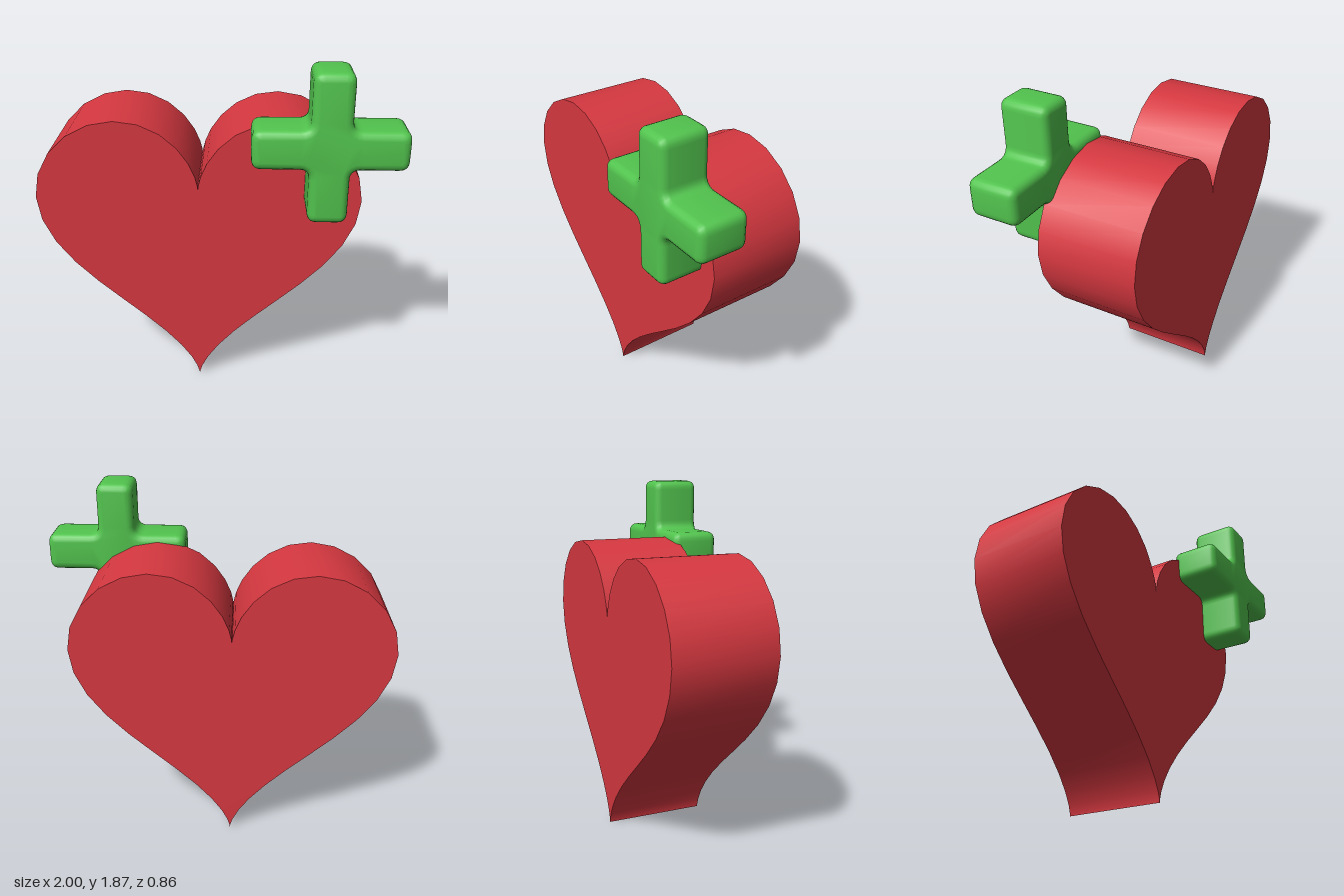
import * as THREE from 'three';
import { toCreasedNormals } from 'three/addons/utils/BufferGeometryUtils.js';

const TURN = THREE.MathUtils.degToRad(10);

// Classic parametric heart curve, tip at y = 0
function heartShape(scale, steps) {
  const points = [];
  for (let i = 0; i < steps; i++) {
    const t = (i / steps) * Math.PI * 2;
    const x = 16 * Math.sin(t) ** 3;
    const y = 13 * Math.cos(t) - 5 * Math.cos(2 * t) - 2 * Math.cos(3 * t) - Math.cos(4 * t);
    points.push(new THREE.Vector2(x * scale, (y + 17) * scale));
  }
  return new THREE.Shape(points);
}

// Plus outline with every corner, inner and outer, rounded
function plusShape(arm, half, radius) {
  const corners = [];
  for (let i = 0; i < 4; i++) {
    for (const [x, y] of [[arm, -half], [arm, half], [half, half]]) {
      corners.push(new THREE.Vector2(x, y).rotateAround(new THREE.Vector2(), (i * Math.PI) / 2));
    }
  }
  const shape = new THREE.Shape();
  corners.forEach((p, i) => {
    const toward = (q) => q.clone().sub(p).setLength(radius).add(p);
    const a = toward(corners[(i + 11) % 12]);
    const b = toward(corners[(i + 1) % 12]);
    if (i === 0) shape.moveTo(a.x, a.y);
    else shape.lineTo(a.x, a.y);
    shape.quadraticCurveTo(p.x, p.y, b.x, b.y);
  });
  shape.closePath();
  return shape;
}

export function createModel() {
  const model = new THREE.Group();
  const red = new THREE.MeshStandardMaterial({ color: 0xd63840 });
  red.name = 'red';
  const green = new THREE.MeshStandardMaterial({ color: 0x52c44e });
  green.name = 'green';

  // Thick heart slab with sharp rims
  const heartDepth = 0.545;
  const heartGeometry = new THREE.ExtrudeGeometry(heartShape(0.0536, 48), {
    depth: heartDepth,
    bevelEnabled: false,
  });
  heartGeometry.translate(0, 0, -heartDepth / 2);
  const heart = new THREE.Mesh(toCreasedNormals(heartGeometry, 0.7), red);
  heart.name = 'heart';
  heart.position.set(-0.107, 0, -0.015);
  heart.rotation.y = TURN;

  // Soft-edged plus on the upper front
  const plusDepth = 0.265;
  const bevel = 0.04;
  const plusGeometry = new THREE.ExtrudeGeometry(plusShape(0.383, 0.1, 0.05), {
    depth: plusDepth - 2 * bevel,
    curveSegments: 5,
    bevelThickness: bevel,
    bevelSize: bevel,
    bevelOffset: -bevel,
    bevelSegments: 4,
  });
  plusGeometry.translate(0, 0, -plusDepth / 2 + bevel);
  const plus = new THREE.Mesh(toCreasedNormals(plusGeometry, 0.8), green);
  plus.name = 'plus';
  plus.position.set(0.603, 1.483, 0.235);
  plus.rotation.y = TURN;

  model.add(heart, plus);
  return model;
}
